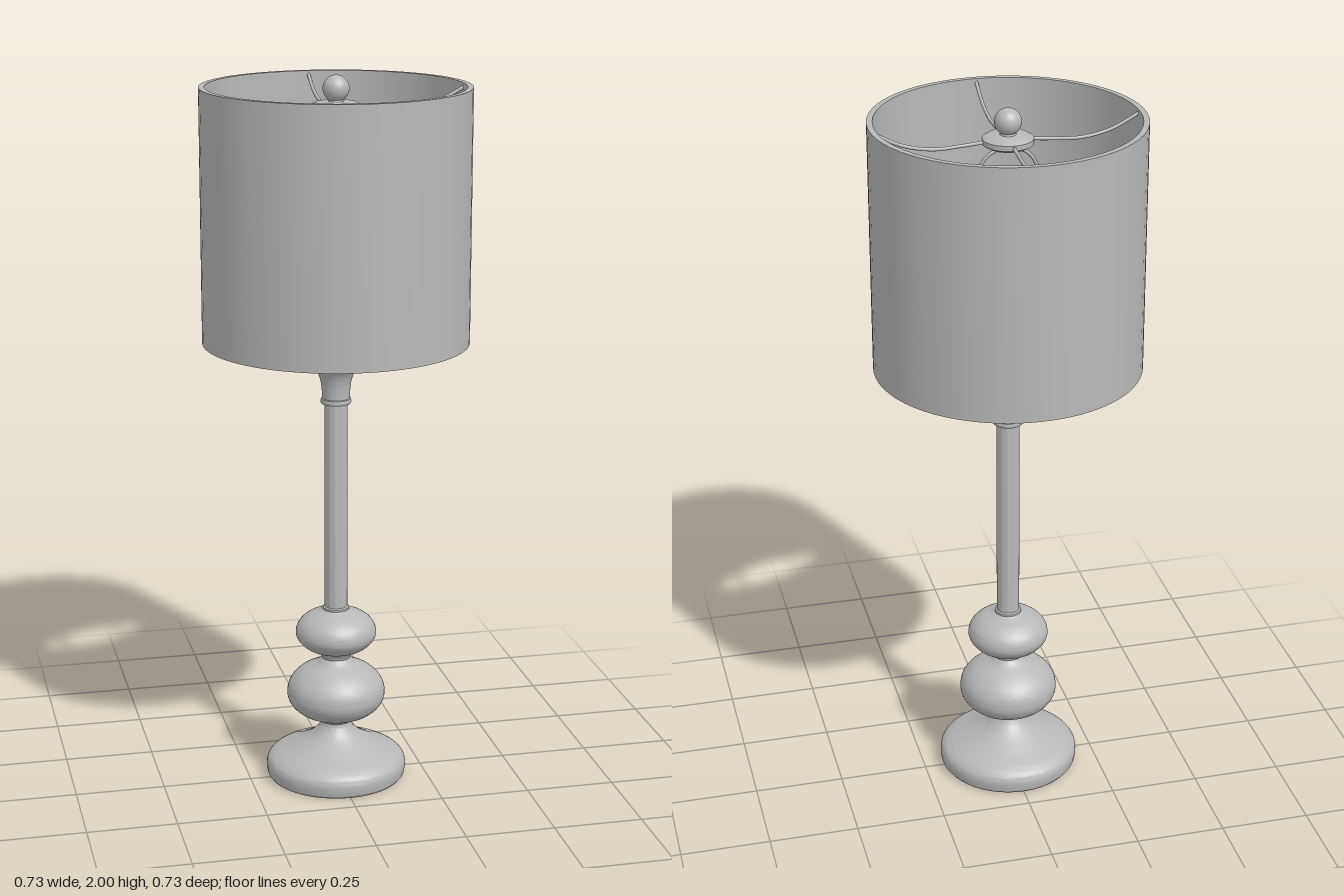
import * as THREE from 'three';
import { toCreasedNormals } from 'three/addons/utils/BufferGeometryUtils.js';

export function createModel() {
  const lamp = new THREE.Group();
  lamp.name = 'tableLamp';
  const grey = new THREE.MeshStandardMaterial({ color: 0xb8b8b8 });
  grey.name = 'lightGrey';

  const add = (name, geometry, parent = lamp) => {
    const mesh = new THREE.Mesh(geometry, grey);
    mesh.name = name;
    parent.add(mesh);
    return mesh;
  };
  // Turned part from [radius, height] pairs running upwards; optionally smoothed
  const turned = (name, pairs, smooth = 0, sides = 48) => {
    let pts = pairs.map(([r, y]) => new THREE.Vector2(r, y));
    if (smooth) pts = new THREE.SplineCurve(pts).getPoints(smooth);
    pts.forEach((p) => { p.x = Math.max(p.x, 0); });
    return add(name, toCreasedNormals(new THREE.LatheGeometry(pts, sides), 0.6));
  };
  const wire = (name, points, radius, parent) => add(name, new THREE.TubeGeometry(
    new THREE.CatmullRomCurve3(points.map((p) => new THREE.Vector3(...p))), 40, radius, 8), parent);

  // Foot: flat underside and bell-shaped top
  turned('footUnderside', [[0, 0], [0.19, 0], [0.196, 0.008]]);
  turned('foot', [[0.196, 0.008], [0.199, 0.03], [0.195, 0.05], [0.175, 0.068],
    [0.125, 0.09], [0.075, 0.118], [0.048, 0.145], [0.042, 0.165]], 32);

  // Two flattened beads with narrow necks
  turned('largeBead', [[0.042, 0.16], [0.055, 0.172], [0.1, 0.19], [0.13, 0.218], [0.139, 0.25],
    [0.13, 0.285], [0.1, 0.316], [0.055, 0.34], [0.04, 0.355]], 36);
  turned('smallBead', [[0.04, 0.352], [0.05, 0.37], [0.085, 0.387], [0.108, 0.41], [0.114, 0.432],
    [0.105, 0.458], [0.08, 0.48], [0.045, 0.494], [0.036, 0.5]], 36);

  // Column with collars
  turned('columnCollar', [[0.03, 0.492], [0.037, 0.494], [0.037, 0.505], [0.032, 0.508]]);
  turned('column', [[0.032, 0.5], [0.032, 1.105]]);
  turned('upperCollar', [[0.03, 1.098], [0.041, 1.1], [0.043, 1.106], [0.041, 1.113], [0.038, 1.115]]);

  // Flared cup and its drip plate
  turned('cup', [[0.038, 1.112], [0.039, 1.135], [0.043, 1.165], [0.053, 1.19],
    [0.07, 1.21], [0.082, 1.218]], 24);
  turned('dripPlate', [[0.075, 1.215], [0.1, 1.221], [0.104, 1.226], [0.102, 1.232], [0.03, 1.234]]);

  // Socket stem, seat and holder
  turned('stem', [[0.026, 1.232], [0.026, 1.24], [0.036, 1.25], [0.036, 1.26], [0.025, 1.272],
    [0.025, 1.31]]);
  turned('socketSeat', [[0.024, 1.3], [0.05, 1.306], [0.054, 1.315], [0.05, 1.325], [0.03, 1.332]]);
  turned('socket', [[0.028, 1.328], [0.042, 1.345], [0.044, 1.4], [0.036, 1.405], [0.036, 1.5],
    [0.03, 1.5], [0.03, 1.42], [0, 1.42]]);
  const socketSwitch = add('socketSwitch', new THREE.CylinderGeometry(0.008, 0.008, 0.06, 12));
  socketSwitch.rotation.x = Math.PI / 2;
  socketSwitch.position.set(0, 1.375, 0.06);

  // Harp: two mirrored wires from the socket seat up to the hub
  for (const s of [-1, 1]) {
    wire('harpWire', [[s * 0.03, 1.315, 0], [s * 0.075, 1.312, 0], [s * 0.095, 1.335, 0], [s * 0.095, 1.42, 0],
      [s * 0.108, 1.6, 0], [s * 0.1, 1.76, 0], [s * 0.06, 1.87, 0], [0, 1.9, 0]], 0.005);
    const ferrule = add('harpFerrule', new THREE.CylinderGeometry(0.009, 0.009, 0.04, 12));
    ferrule.position.set(s * 0.095, 1.39, 0);
  }

  // Hub and finial
  turned('hub', [[0, 1.898], [0.055, 1.898], [0.068, 1.906], [0.068, 1.92], [0.055, 1.928], [0.022, 1.93],
    [0.015, 1.945]]);
  const finial = add('finial', new THREE.SphereGeometry(0.036, 32, 20));
  finial.position.y = 1.964;

  // Four sagging spokes carrying the shade
  const spider = new THREE.Group();
  spider.name = 'spider';
  lamp.add(spider);
  for (let i = 0; i < 4; i++) {
    const spoke = wire('spoke', [[0.05, 1.914, 0], [0.12, 1.908, 0], [0.2, 1.905, 0], [0.28, 1.922, 0],
      [0.355, 1.96, 0]], 0.005, spider);
    spoke.rotation.y = i * Math.PI / 2;
  }

  // Hollow drum shade
  turned('shade', [[0.35, 1.275], [0.366, 1.275], [0.366, 1.97], [0.35, 1.97], [0.35, 1.275]], 0, 64);

  return lamp;
}
